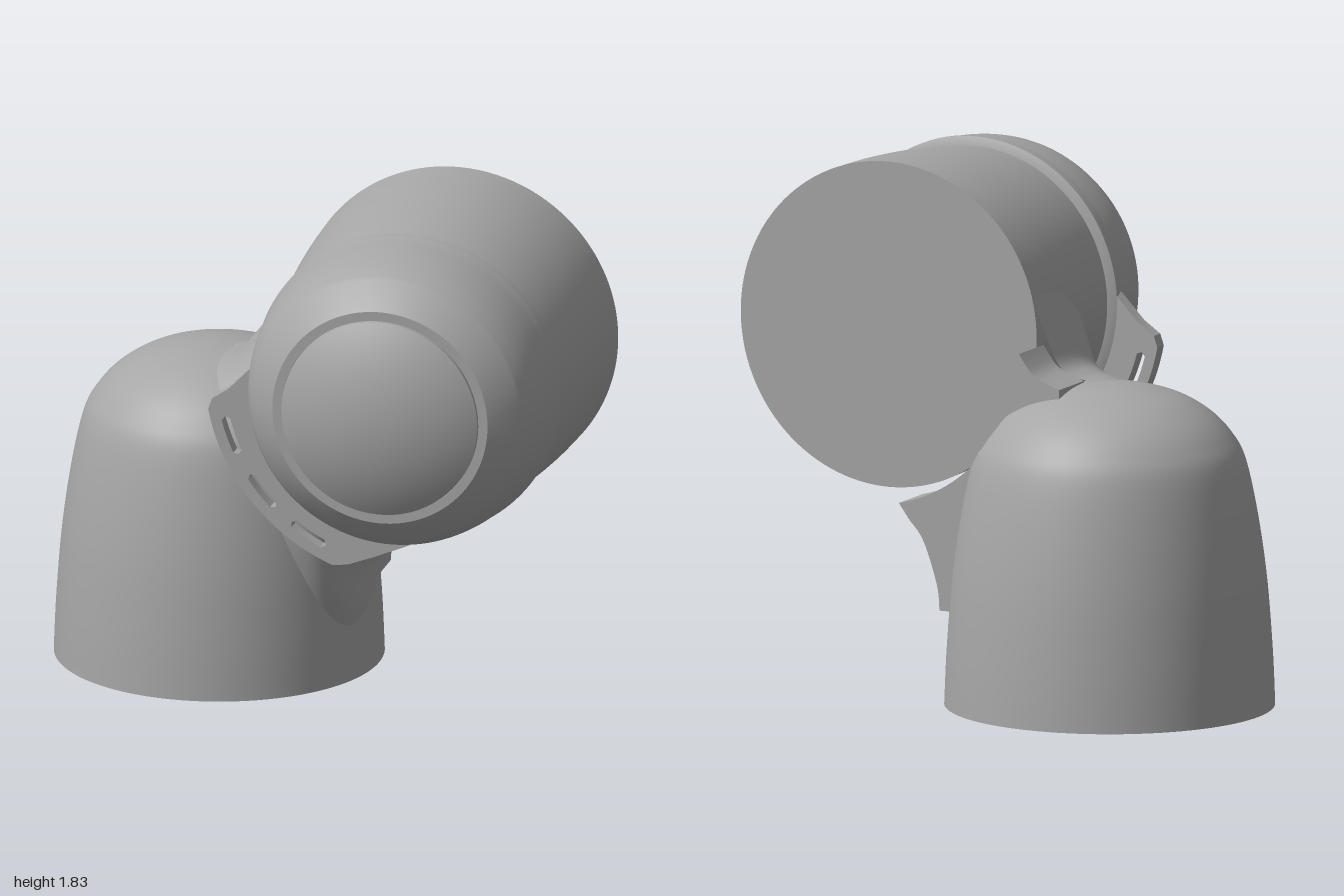
import * as THREE from 'three';
import { toCreasedNormals } from 'three/addons/utils/BufferGeometryUtils.js';

const V = (x, y) => new THREE.Vector2(x, y);
const HX = 0.425, HY = 1.26, BX = -0.43, BZ = -0.29; // head axis and base axis
const polar = (r, deg) => {
  const a = THREE.MathUtils.degToRad(deg);
  return V(HX + r * Math.cos(a), HY + r * Math.sin(a));
};

export function createModel() {
  const group = new THREE.Group();
  const grey = new THREE.MeshStandardMaterial({ color: 0xa6a6a6 });
  grey.name = 'plain grey';

  function add(name, geometry) {
    const mesh = new THREE.Mesh(geometry, grey);
    mesh.name = name;
    group.add(mesh);
    return mesh;
  }
  const spline = (pts, n) => new THREE.SplineCurve(pts).getPoints(n);

  // Upright tapered body with a domed top
  const bodyProfile = [V(0, 0), ...spline([
    V(0.572, 0), V(0.563, 0.2), V(0.543, 0.45), V(0.51, 0.68), V(0.47, 0.86), V(0.425, 0.945),
    V(0.36, 1.015), V(0.27, 1.072), V(0.17, 1.106), V(0.08, 1.122), V(0, 1.127),
  ], 70)];
  const body = new THREE.LatheGeometry(bodyProfile, 128);
  body.translate(BX, 0, BZ);
  // Scoop the back of the body clear of the head's cylinder
  const p = body.attributes.position;
  for (let i = 0; i < p.count; i++) {
    const dx = p.getX(i) - HX, dy = p.getY(i) - HY, d = Math.hypot(dx, dy);
    if (p.getZ(i) < BZ + 0.01 && d < 0.6) {
      p.setX(i, HX + dx * 0.6 / d);
      p.setY(i, HY + dy * 0.6 / d);
    }
  }
  add('uprightBody', toCreasedNormals(body, 0.6));

  // Parts turned about the head's front-to-back axis
  function turned(name, pts) {
    const g = new THREE.LatheGeometry(pts, 128);
    g.rotateX(Math.PI / 2);
    g.translate(HX, HY, 0);
    add(name, toCreasedNormals(g, 0.45));
  }
  turned('headBarrel', [V(0, BZ), ...spline([
    V(0.572, BZ), V(0.567, -0.12), V(0.555, 0.05), V(0.537, 0.22), V(0.515, 0.37),
  ], 16), V(0, 0.37)]);
  turned('headCap', [V(0, 0.36), V(0.515, 0.365), V(0.546, 0.38), V(0.546, 0.395),
    ...spline([V(0.54, 0.42), V(0.53, 0.52), V(0.51, 0.61), V(0.478, 0.68)], 10),
    V(0.385, 0.757), V(0.352, 0.757), V(0.352, 0.745), V(0, 0.745)]);
  const lens = [];
  for (let i = 0; i <= 16; i++) {
    const r = 0.35 * (1 - i / 16);
    lens.push(V(r, 0.16 + Math.sqrt(0.49 - r * r)));
  }
  turned('lens', [V(0, 0.73), V(0.35, 0.73), ...lens]);

  // Neck: rounded sections swept from body to head (upper edge, lower edge, depth)
  const upper = new THREE.SplineCurve([V(-0.5, 1.06), V(-0.4, 1.115), V(-0.3, 1.135),
    V(-0.235, 1.17), V(-0.19, 1.26), V(-0.135, 1.385), V(-0.06, 1.55)]);
  const lower = new THREE.SplineCurve([V(0.1, 0.1), V(0.128, 0.25), V(0.143, 0.4),
    V(0.195, 0.55), V(0.28, 0.635), V(0.36, 0.67), V(0.48, 0.7)]);
  const depth = new THREE.SplineCurve([0.35, 0.42, 0.46, 0.49, 0.525, 0.56, 0.6].map((d, i) => V(i, d)));
  const NI = 40, NJ = 40, pos = [], idx = [];
  for (let i = 0; i <= NI; i++) {
    const u = upper.getPoint(i / NI), l = lower.getPoint(i / NI), d = depth.getPoint(i / NI).y;
    for (let j = 0; j <= NJ; j++) {
      const a = Math.PI * j / NJ, c = Math.cos(a);
      const s = 0.5 + 0.5 * Math.sign(c) * Math.pow(Math.abs(c), 0.72);
      const z = BZ + d * Math.pow(Math.max(Math.sin(a), 0), 0.72);
      pos.push(l.x + (u.x - l.x) * s, l.y + (u.y - l.y) * s, z);
      if (i < NI && j < NJ) {
        const q = i * (NJ + 1) + j, r = q + NJ + 1;
        idx.push(q, q + 1, r, q + 1, r + 1, r);
      }
    }
  }
  const neck = new THREE.BufferGeometry();
  neck.setAttribute('position', new THREE.Float32BufferAttribute(pos, 3));
  neck.setIndex(idx);
  neck.computeVertexNormals();
  add('neck', neck);

  // Back of the neck: flat-ended fillet with a concave seat behind the head
  const seat = [];
  for (let i = 0; i <= 24; i++) seat.push(polar(0.6, 257 - 75 * i / 24));
  const backShape = new THREE.Shape([
    ...spline([V(0.133, 0.31), V(0.143, 0.4), V(0.195, 0.55), V(0.25, 0.62)], 14),
    ...seat,
    ...spline([V(-0.19, 1.215), V(-0.235, 1.165), V(-0.33, 1.125)], 8),
    V(-0.33, 0.31),
  ]);
  const back = new THREE.ExtrudeGeometry(backShape, { depth: 0.19, bevelEnabled: false });
  back.translate(0, 0, -0.48);
  add('neckBackFillet', toCreasedNormals(back, 0.5));

  // Slotted flange under the cap
  const rim = [];
  for (let a = 191; a <= 249; a += 2) rim.push(polar(0.715, a));
  const flangeShape = new THREE.Shape([
    polar(0.45, 176), polar(0.54, 176), polar(0.63, 185), polar(0.695, 188), ...rim,
    polar(0.69, 253), polar(0.635, 260), polar(0.575, 271), polar(0.54, 280), polar(0.45, 280),
    polar(0.45, 245), polar(0.45, 210),
  ]);
  for (const mid of [200, 219.5, 238.5]) {
    const pts = [];
    const half = 5.2, r = 0.66, w = 0.016;
    for (let i = -3; i <= 3; i++) pts.push(polar(r + w, mid + half * i / 3));
    pts.push(polar(r, mid + half + 1));
    for (let i = 3; i >= -3; i--) pts.push(polar(r - w, mid + half * i / 3));
    pts.push(polar(r, mid - half - 1));
    flangeShape.holes.push(new THREE.Path(pts));
  }
  const flange = new THREE.ExtrudeGeometry(flangeShape, { depth: 0.05, bevelEnabled: false });
  flange.translate(0, 0, 0.38);
  add('slottedFlange', toCreasedNormals(flange, 0.5));

  return group;
}
